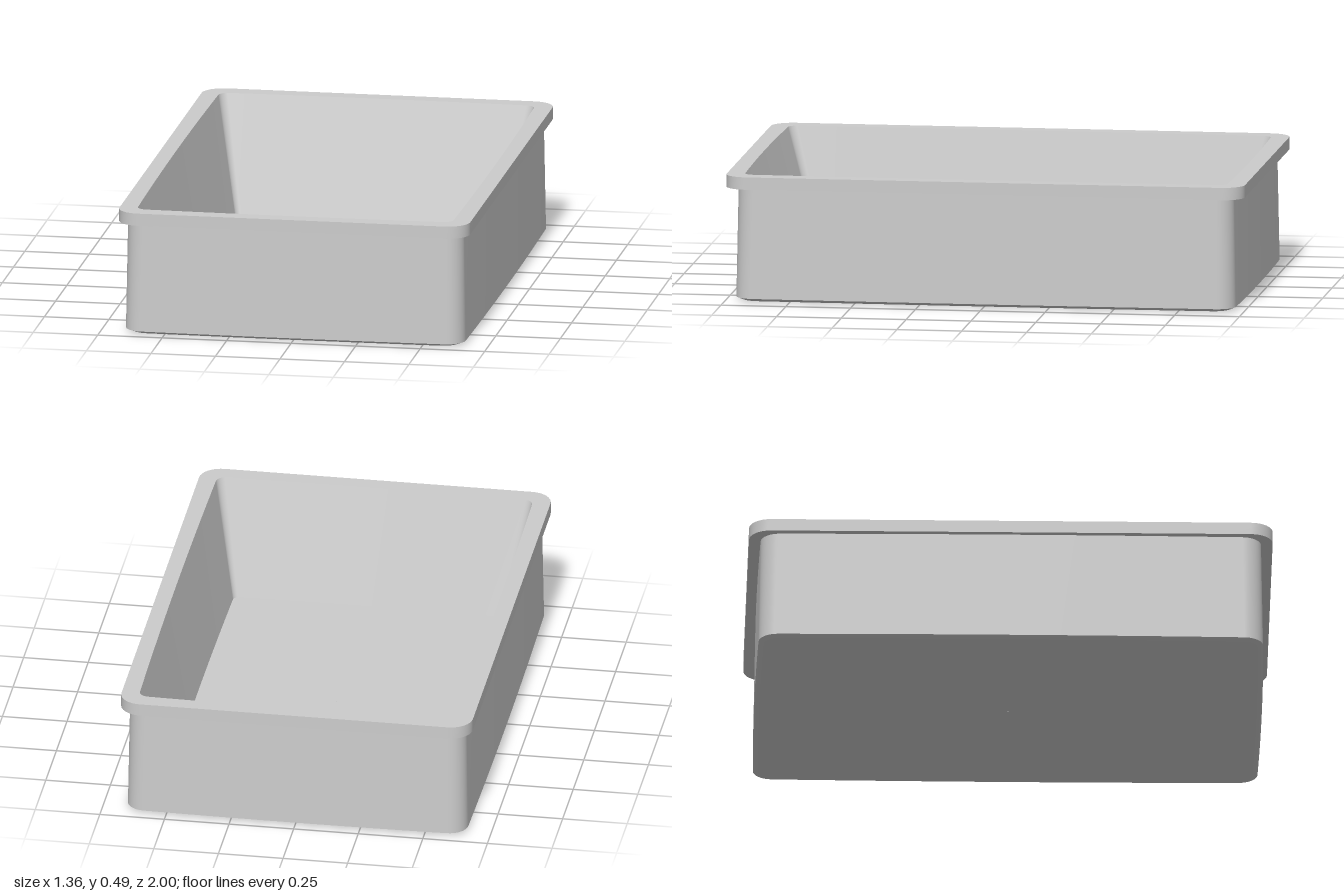
import * as THREE from 'three';

const ARC = 8, SIDE = 10;

// Rounded rectangle outline at height y; the sides swell outward by bow at their middles
function outline([hx, hz, r, y, bow = 0]) {
  const corners = [];
  for (let c = 0; c < 4; c++) {
    const sx = c === 0 || c === 3 ? 1 : -1, sz = c < 2 ? 1 : -1;
    for (let i = 0; i <= ARC; i++) {
      const a = (c + i / ARC) * Math.PI / 2;
      corners.push([sx * (hx - r) + r * Math.cos(a), sz * (hz - r) + r * Math.sin(a)]);
    }
  }
  const points = [];
  corners.forEach((p, i) => {
    const q = corners[(i + 1) % corners.length];
    const steps = i % (ARC + 1) === ARC ? SIDE : 1;
    for (let s = 0; s < steps; s++) {
      const x = p[0] + (q[0] - p[0]) * s / steps, z = p[1] + (q[1] - p[1]) * s / steps;
      const u = x / hx, v = z / hz;
      points.push([x + bow * u * (1 - v * v), y, z + bow * v * (1 - u * u)]);
    }
  });
  return points;
}

// Smooth skin through a list of outlines
function loft(name, sections, material) {
  const rings = sections.map(outline), n = rings[0].length, index = [];
  for (let i = 0; i < rings.length - 1; i++) {
    for (let j = 0; j < n; j++) {
      const k = (j + 1) % n;
      const a = i * n + j, b = i * n + k, c = a + n, d = b + n;
      index.push(a, c, b, b, c, d);
    }
  }
  const geometry = new THREE.BufferGeometry();
  geometry.setAttribute('position', new THREE.Float32BufferAttribute(rings.flat(2), 3));
  geometry.setIndex(index);
  geometry.computeVertexNormals();
  const mesh = new THREE.Mesh(geometry, material);
  mesh.name = name;
  return mesh;
}

export function createModel() {
  const group = new THREE.Group();
  group.name = 'tray';
  const material = new THREE.MeshStandardMaterial({ color: 0xcccccc });

  // Each section: half width, half depth, corner radius, height, bow
  const baseEdge = [0.657, 0.962, 0.07, 0.012, 0.008];
  const wallTop = [0.65, 0.954, 0.07, 0.437, 0.008];
  const rimLow = [0.68, 1, 0.085, 0.437];
  const rimHigh = [0.68, 1, 0.085, 0.485];
  const mouth = [0.611, 0.93, 0.035, 0.485, 0.008];
  const floorEdge = [0.527, 0.803, 0.02, 0.04, 0.007];

  const parts = {
    base: [[0.001, 0.001, 0.0002, 0], [0.632, 0.937, 0.06, 0, 0.008], baseEdge],
    outerWall: [baseEdge, wallTop],
    rimUnderside: [wallTop, rimLow],
    rimEdge: [rimLow, rimHigh],
    rimTop: [rimHigh, mouth],
    innerWall: [mouth, floorEdge],
    floor: [floorEdge, [0.001, 0.001, 0.0002, 0.04]],
  };
  for (const [name, sections] of Object.entries(parts)) group.add(loft(name, sections, material));
  return group;
}
